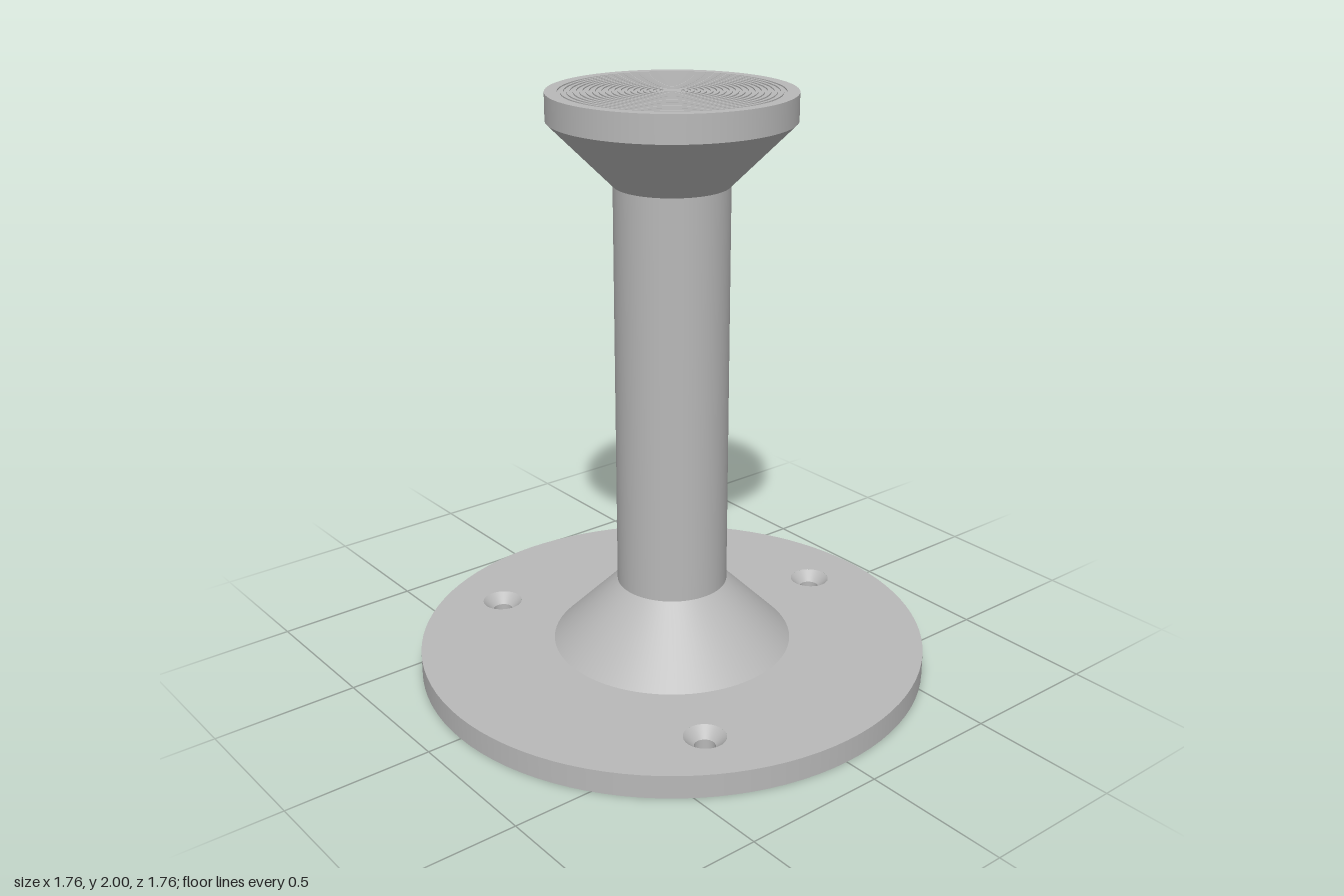
import * as THREE from 'three';
import { mergeGeometries } from 'three/addons/utils/BufferGeometryUtils.js';

const SIDES = 96;
const BASE_R = 0.88, BASE_H = 0.08;
const HOLE_R = 0.035, SINK_R = 0.07, HOLE_ORBIT = 0.67;

// Turned profile: every segment is its own lathe, so corners stay sharp
function turned(points, sides = SIDES) {
  const parts = [];
  for (let i = 0; i + 1 < points.length; i++) {
    const pair = [points[i], points[i + 1]].map(([r, y]) => new THREE.Vector2(r, y));
    parts.push(new THREE.LatheGeometry(pair, sides));
  }
  return mergeGeometries(parts);
}

export function createModel() {
  const group = new THREE.Group();
  const metal = new THREE.MeshStandardMaterial({ color: 0xb8b8b8 });
  metal.name = 'grey metal';

  function add(name, geometry) {
    const mesh = new THREE.Mesh(geometry, metal);
    mesh.name = name;
    group.add(mesh);
    return mesh;
  }

  // Three screw holes, one at the back and two towards the front
  const holes = [0, 1, 2].map((i) => {
    const a = -Math.PI / 2 + (i * Math.PI * 2) / 3;
    return { x: HOLE_ORBIT * Math.cos(a), z: HOLE_ORBIT * Math.sin(a) };
  });

  // Flat disc pierced by the screw holes
  function disc(holeRadius, zSign) {
    const shape = new THREE.Shape().absarc(0, 0, BASE_R, 0, Math.PI * 2);
    for (const h of holes) {
      shape.holes.push(new THREE.Path().absarc(h.x, h.z * zSign, holeRadius, 0, Math.PI * 2, true));
    }
    return new THREE.ShapeGeometry(shape, SIDES / 2);
  }

  // Base flange
  add('flangeTop', disc(SINK_R, -1).rotateX(-Math.PI / 2).translate(0, BASE_H, 0));
  add('flangeBottom', disc(HOLE_R, 1).rotateX(Math.PI / 2));
  add('flangeRim', turned([[BASE_R, 0], [BASE_R, BASE_H]]));
  for (const h of holes) {
    const profile = [[SINK_R, BASE_H], [HOLE_R, BASE_H - 0.035], [HOLE_R, 0]];
    add('countersunkHole', turned(profile, 48)).position.set(h.x, 0, h.z);
  }

  // Flared foot and column
  add('foot', turned([[0.415, BASE_H], [0.19, 0.305]]));
  add('column', turned([[0.19, 0.305], [0.19, 1.7]]));

  // Flared head with fine concentric grooves in its top face
  const head = [[0.19, 1.7], [0.4, 1.91], [0.4, 2]];
  const floor = 1.996;
  for (let r = 0.36; r > 0.03; r -= 0.02) {
    head.push([r, 2], [r, floor], [r - 0.01, floor], [r - 0.01, 2]);
  }
  head.push([0, 2]);
  add('head', turned(head));

  // Small centre mark
  const L = 0.057, w = 0.008;
  const outline = [[w, w], [w, L], [-w, L], [-w, w], [-L, w], [-L, -w],
    [-w, -w], [-w, -L], [w, -L], [w, -w], [L, -w], [L, w]];
  const cross = new THREE.Shape(outline.map(([x, y]) => new THREE.Vector2(x, y)));
  add('centreMark', new THREE.ExtrudeGeometry(cross, { depth: 0.004, bevelEnabled: false })
    .rotateX(-Math.PI / 2).translate(0, floor, 0));

  return group;
}
